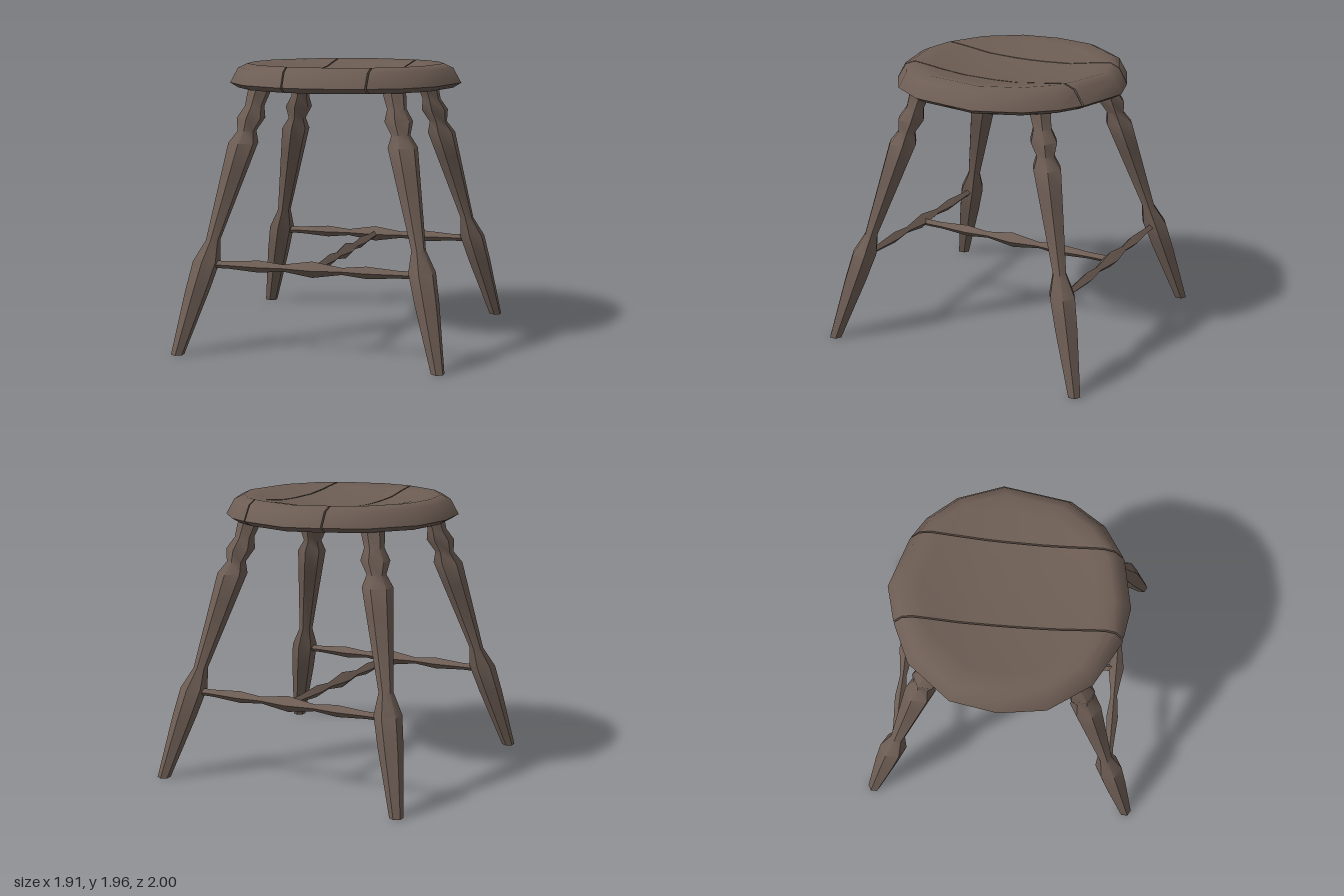
import * as THREE from 'three';
import { toCreasedNormals } from 'three/addons/utils/BufferGeometryUtils.js';

const wood = new THREE.MeshStandardMaterial({ color: 0x6d5d54 });
wood.name = 'darkWood';

function addMesh(parent, name, geometry, crease) {
  const mesh = new THREE.Mesh(toCreasedNormals(geometry, crease), wood);
  mesh.name = name;
  parent.add(mesh);
  return mesh;
}

// Few-sided turned part around the y axis, from [radius, height] pairs
function turned(profile, sides) {
  return new THREE.LatheGeometry(profile.map(([r, y]) => new THREE.Vector2(r, y)), sides);
}

// Hand-cut seat outline, as [x, z] seen from above
const OUTLINE = [
  [-0.81, -0.01], [-0.76, 0.31], [-0.56, 0.59], [-0.25, 0.76], [0, 0.8], [0.35, 0.73],
  [0.58, 0.58], [0.74, 0.34], [0.81, -0.13], [0.69, -0.44], [0.52, -0.63], [0.36, -0.725],
  [0, -0.83], [-0.25, -0.76], [-0.53, -0.63], [-0.76, -0.33],
];
// Seat section as [outline scale, y], from the underside out and over to the dished middle
const SECTION = [
  [0, 1.79], [0.93, 1.79], [1, 1.825], [0.93, 1.93], [0.85, 1.96],
  [0.72, 1.945], [0.5, 1.915], [0.25, 1.9], [0, 1.895],
];

function seatTriangles() {
  const point = (i, [s, y]) => {
    const [x, z] = OUTLINE[i % OUTLINE.length];
    return new THREE.Vector3(x * s, y, z * s);
  };
  const triangles = [];
  for (let k = 0; k < SECTION.length - 1; k++) {
    const [lo, hi] = [SECTION[k], SECTION[k + 1]];
    for (let i = 0; i < OUTLINE.length; i++) {
      const [a, b, c, d] = [point(i, lo), point(i + 1, lo), point(i + 1, hi), point(i, hi)];
      if (lo[0] > 0) triangles.push([a, b, c]);
      if (hi[0] > 0) triangles.push([a, c, d]);
    }
  }
  return triangles;
}

// Keep the part of a polygon where side(p) >= 0
function clip(polygon, side) {
  const out = [];
  polygon.forEach((p, i) => {
    const q = polygon[(i + 1) % polygon.length];
    const [dp, dq] = [side(p), side(q)];
    if (dp >= 0) out.push(p);
    if (dp * dq < 0) out.push(p.clone().lerp(q, dp / (dp - dq)));
  });
  return out;
}

// Saw one plank out of the seat, closing the sawn faces
function plankGeometry(cuts) {
  const positions = [];
  const face = (...points) => points.forEach((p) => positions.push(p.x, p.y, p.z));
  for (const triangle of seatTriangles()) {
    const polygon = cuts.reduce((poly, { side }) => clip(poly, side), triangle);
    for (let i = 1; i < polygon.length - 1; i++) face(polygon[0], polygon[i], polygon[i + 1]);
    polygon.forEach((p, i) => {
      const q = polygon[(i + 1) % polygon.length];
      for (const { side, x } of cuts) {
        if (Math.abs(side(p)) < 1e-6 && Math.abs(side(q)) < 1e-6) {
          face(q, p, new THREE.Vector3(x, 1.845, 0));
        }
      }
    });
  }
  const geometry = new THREE.BufferGeometry();
  geometry.setAttribute('position', new THREE.Float32BufferAttribute(positions, 3));
  return geometry;
}

// Slightly slanted saw cut; keep is +1 for the right-hand side in x, -1 for the other
function sawCut(x, slant, keep) {
  return { x, side: (p) => keep * (p.x - x - slant * p.z) };
}

export function createModel() {
  const stool = new THREE.Group();
  stool.name = 'stool';

  // Seat of three planks with narrow gaps
  const seat = new THREE.Group();
  seat.name = 'seat';
  stool.add(seat);
  const gap = 0.005;
  addMesh(seat, 'rightPlank', plankGeometry([sawCut(-0.235 - gap, 0.02, -1)]), 0.75);
  addMesh(seat, 'middlePlank', plankGeometry([
    sawCut(-0.235 + gap, 0.02, 1), sawCut(0.36 - gap, -0.007, -1),
  ]), 0.75);
  addMesh(seat, 'leftPlank', plankGeometry([sawCut(0.36 + gap, -0.007, 1)]), 0.75);

  // Splayed turned legs, sheared so that the feet stay level
  const legProfile = [
    [0, 0], [0.046, 0], [0.085, 0.43], [0.095, 0.63], [0.05, 0.77], [0.09, 1.25],
    [0.105, 1.43], [0.066, 1.51], [0.1, 1.6], [0.068, 1.68], [0.08, 1.77], [0.075, 1.85], [0, 1.85],
  ];
  for (const sx of [-1, 1]) {
    for (const sz of [-1, 1]) {
      const geometry = turned(legProfile, 6);
      geometry.applyMatrix4(new THREE.Matrix4().set(
        1, -0.242 * sx, 0, 0.915 * sx,
        0, 1, 0, 0,
        0, -0.275 * sz, 1, 0.955 * sz,
        0, 0, 0, 1,
      ));
      const name = (sz > 0 ? 'front' : 'back') + (sx > 0 ? 'Left' : 'Right') + 'Leg';
      addMesh(stool, name, geometry, 0.9);
    }
  }

  // Stretchers in an H, each with three swellings
  const half = [[0.056, 0], [0.024, 0.21], [0.042, 0.38], [0.026, 0.6], [0.026, 0.77]];
  const stretcherProfile = [
    [0, -0.77], ...half.slice(1).reverse().map(([r, y]) => [r, -y]), ...half, [0, 0.77],
  ];
  for (const [name, z] of [['frontStretcher', 0.78], ['backStretcher', -0.78]]) {
    const geometry = turned(stretcherProfile, 4).rotateZ(Math.PI / 2).rotateX(Math.PI / 2);
    addMesh(stool, name, geometry, 0.5).position.set(0, 0.608, z);
  }
  const middle = turned(stretcherProfile, 4).rotateX(Math.PI / 2);
  addMesh(stool, 'middleStretcher', middle, 0.5).position.y = 0.605;

  return stool;
}
